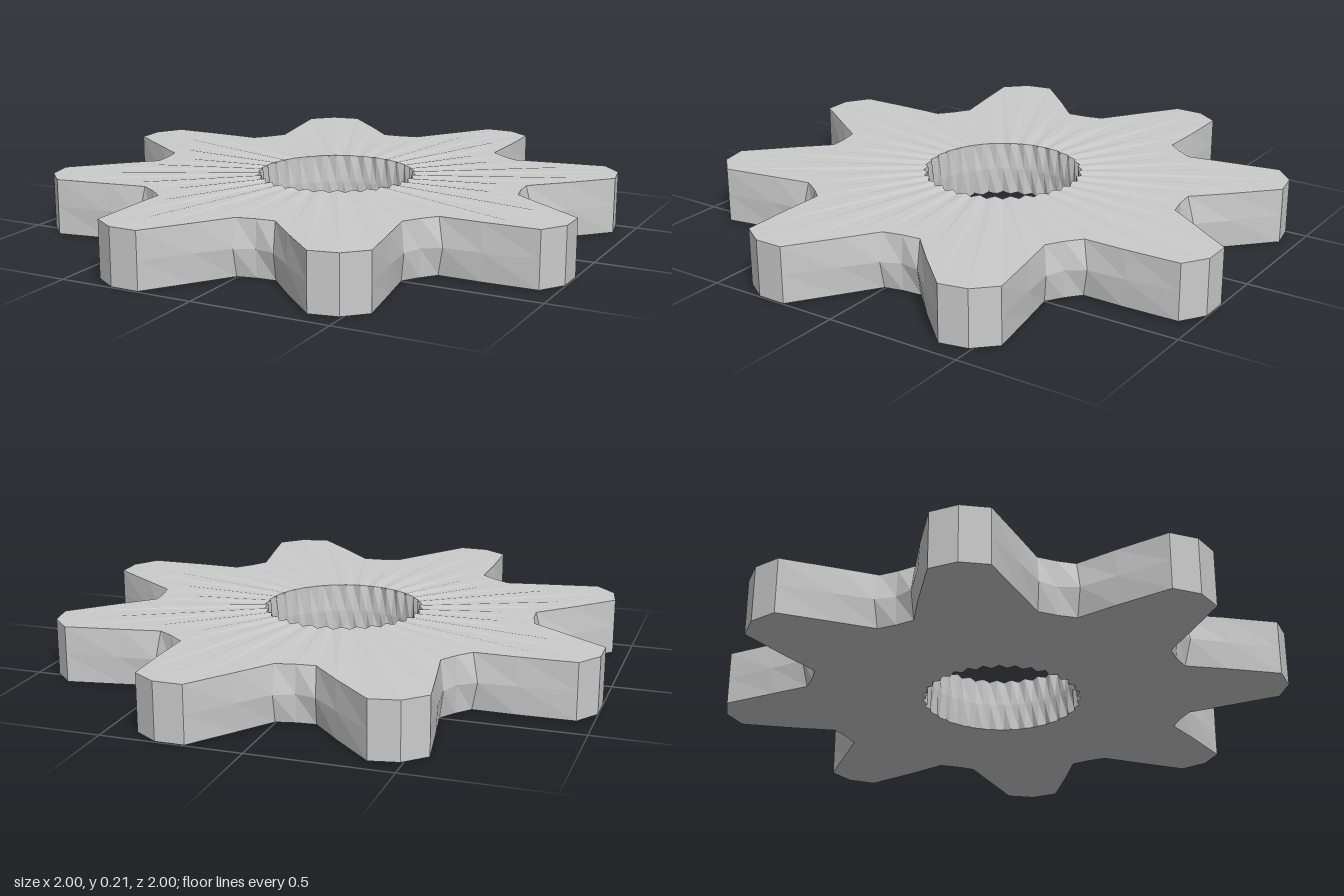
import * as THREE from 'three';

const STEPS = 64; // eight samples for each of the eight teeth
const HEIGHT = 0.21;
// radius along one tooth: root, flank, tip (3), flank, root (2)
const FACE_R = [0.715, 0.838, 1.02, 1.045, 1.02, 0.838, 0.707, 0.703];
const WAIST_R = [0.737, 0.85, 1.02, 1.045, 1.02, 0.85, 0.732, 0.71];

// Closed radial cross-section [radius, y] at sample i
function section(i) {
  const face = FACE_R[i % 8], waist = WAIST_R[i % 8];
  const groove = i % 2 === 0;
  const bore = groove ? 0.293 : 0.279;   // serrated rim of the hole
  const dip = groove ? 0.005 : 0;        // shallow ribs fanning over the faces
  return [
    [bore, dip], [face, 0.003],
    [waist, HEIGHT / 2],
    [face, HEIGHT - 0.003], [bore, HEIGHT - dip],
    [0.281, HEIGHT / 2],
  ];
}

function gearGeometry() {
  const positions = [], indices = [];
  const n = section(0).length;
  for (let i = 0; i < STEPS; i++) {
    const a = (i / STEPS) * Math.PI * 2;
    for (const [r, y] of section(i)) positions.push(Math.sin(a) * r, y, -Math.cos(a) * r);
    const next = (i + 1) % STEPS;
    for (let j = 0; j < n; j++) {
      const k = (j + 1) % n;
      const p = i * n + j, q = i * n + k, s = next * n + k, t = next * n + j;
      indices.push(p, q, s, p, s, t);
    }
  }
  const geometry = new THREE.BufferGeometry();
  geometry.setAttribute('position', new THREE.Float32BufferAttribute(positions, 3));
  geometry.setIndex(indices);
  const faceted = geometry.toNonIndexed();
  faceted.computeVertexNormals();
  return faceted;
}

export function createModel() {
  const group = new THREE.Group();
  group.name = 'gear';
  const material = new THREE.MeshStandardMaterial({ color: 0xcccccc, flatShading: true });
  const gear = new THREE.Mesh(gearGeometry(), material);
  gear.name = 'gearWheel';
  group.add(gear);
  return group;
}
